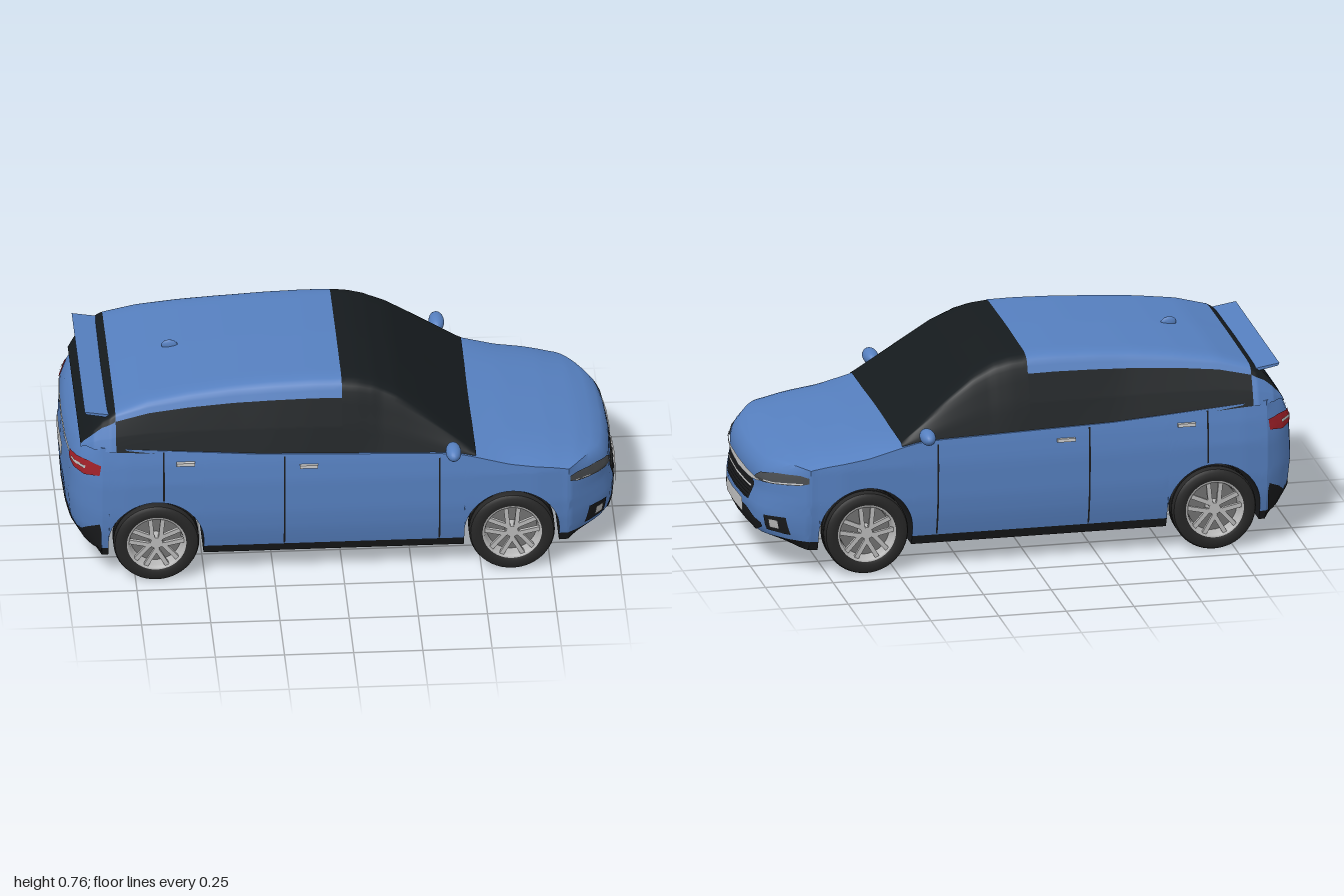
import * as THREE from 'three';
import { toCreasedNormals } from 'three/addons/utils/BufferGeometryUtils.js';

const mat = (color) => new THREE.MeshStandardMaterial({ color, side: THREE.DoubleSide });
const PAINT = mat(0x5680c0), GLASS = mat(0x161b1e), TRIM = mat(0x191a1c), TYRE = mat(0x262626),
  SILVER = mat(0xb8b8b8), CHROME = mat(0xe4e4e4), LAMP = mat(0x4a4d50), PLATE = mat(0xd0d0cc),
  RED = mat(0xa02028), STEEL = mat(0x707070), MESH = mat(0x35383b);

// Piecewise linear lookup in a list of [key, value]
function lin(t, k) {
  if (k <= t[0][0]) return t[0][1];
  for (let i = 1; i < t.length; i++) {
    const [a, va] = t[i - 1], [b, vb] = t[i];
    if (k <= b) return va + (vb - va) * (k - a) / (b - a);
  }
  return t[t.length - 1][1];
}

// Body rules: height of the top, half width, end profiles and plan rounding
const TOP = [[-1, .45], [-.985, .49], [-.96, .525], [-.93, .55], [-.8, .545], [-.3, .51], [.2, .495], [.47, .487],
  [.6, .477], [.75, .455], [.85, .435], [.92, .415], [.96, .395]];
const WIDTH = [[.09, .395], [.13, .412], [.2, .428], [.27, .437], [.4, .441], [.48, .435], [.55, .424]];
const TAPER = [[-.88, .98], [-.78, 1], [.7, 1], [.8, .97]];
const NOSE = [[.09, .88], [.11, .95], [.13, .985], [.17, .998], [.22, 1], [.29, .985], [.34, .985], [.37, .975], [.395, .957], [.42, .92]];
const TAIL = [[.09, .89], [.13, .945], [.2, .99], [.3, 1], [.45, .992], [.5, .973], [.55, .935]];
const NOSE_PLAN = [[0, 1], [.3, .975], [.55, .91], [.65, .83], [.75, .66], [.85, .45], [.94, .2], [1, 0]];
const TAIL_PLAN = [[0, 1], [.4, .97], [.7, .88], [.8, .78], [.9, .52], [.96, .25], [1, 0]];
const noseX = (y, h) => .815 + (lin(NOSE, y) - .815) * lin(NOSE_PLAN, Math.abs(h));
const tailX = (y, h) => -.87 - (lin(TAIL, y) - .87) * lin(TAIL_PLAN, Math.abs(h));
const topY = (x, h) => lin(TOP, x) - lin([[.4, 0], [.6, 1]], x) * (.012 * h * h + .026 * h ** 6);
const halfWidth = (x, y) => lin(WIDTH, y) * lin(TAPER, x);

function add(parent, name, geo, material, x = 0, y = 0, z = 0) {
  const m = new THREE.Mesh(geo, material);
  m.name = name;
  m.position.set(x, y, z);
  parent.add(m);
  return m;
}

// Surface from a rule (u, v) -> [x, y, z]
function grid(nu, nv, fn) {
  const pos = [], idx = [];
  for (let i = 0; i <= nu; i++) for (let j = 0; j <= nv; j++) pos.push(...fn(i / nu, j / nv));
  for (let i = 0; i < nu; i++) for (let j = 0; j < nv; j++) {
    const a = i * (nv + 1) + j, b = a + nv + 1;
    idx.push(a, b, a + 1, b, b + 1, a + 1);
  }
  const g = new THREE.BufferGeometry();
  g.setAttribute('position', new THREE.Float32BufferAttribute(pos, 3));
  g.setIndex(idx);
  g.computeVertexNormals();
  return g;
}

// Panel lying on the nose (dir 1) or tail (dir -1); rows are [z, low y, high y]
function endPanel(rows, dir, lift = .003) {
  const low = rows.map(r => [r[0], r[1]]), high = rows.map(r => [r[0], r[2]]);
  const z0 = rows[0][0], z1 = rows[rows.length - 1][0];
  return grid(28, 6, (u, v) => {
    const z = z0 + (z1 - z0) * u, y = lin(low, z) * (1 - v) + lin(high, z) * v;
    const h = Math.min(1, Math.abs(z) / halfWidth(dir, y));
    return [(dir > 0 ? noseX(y, h) : tailX(y, h)) + dir * lift, y, z + Math.sign(z) * lift * h * h];
  });
}
const mirrorZ = (rows) => rows.map(([z, a, b]) => [-z, a, b]).reverse();

// Body shell: a box whose columns follow the wheel arches and ends
const AXLES = [-.675, .61], ARCH = .172, HUB = .155, FLOOR = .09;
function bodyShell(group) {
  const st = [-1, -.985, -.965, -.94, -.91, -.88, -.865].map(x => [x, FLOOR]);
  const arch = (cx) => {
    st.push([cx - ARCH, FLOOR]);
    for (let i = 0; i <= 24; i++) {
      const a = Math.PI * (1 - i / 24);
      st.push([cx + ARCH * Math.cos(a), HUB + ARCH * Math.sin(a)]);
    }
    st.push([cx + ARCH, FLOOR]);
  };
  arch(AXLES[0]);
  for (let i = 0; i <= 10; i++) st.push([-.48 + i * .09, FLOOR]);
  arch(AXLES[1]);
  for (const x of [.8, .83, .86, .89, .92, .95, .975, 1]) st.push([x, FLOOR]);
  const nx = st.length - 1, ny = 18, nz = 28;
  const box = new THREE.BoxGeometry(2, 2, 2, nx, ny, nz), p = box.attributes.position, row = [];
  for (let i = 0; i < p.count; i++) {
    const [sx, bottom] = st[Math.round((p.getX(i) + 1) / 2 * nx)];
    const r = Math.round((p.getY(i) + 1) / 2 * ny), t = p.getZ(i), h = t * (1.5 - .5 * t * t);
    row.push(r);
    let x = sx, y = 0;
    for (let pass = 0; pass < 3; pass++) {
      const sill = Math.max(bottom, .125);
      y = r === 0 ? bottom : sill + (topY(x, h) - sill) * (r - 1) / (ny - 1);
      if (sx > .8) x = .8 + (noseX(y, h) - .8) * (sx - .8) / .2;
      if (sx < -.865) x = -.865 + (tailX(y, h) + .865) * (-.865 - sx) / .135;
    }
    p.setXYZ(i, x, y, h * halfWidth(x, y));
  }
  box.deleteAttribute('uv');
  const ix = box.index.array, paint = [], dark = [];
  for (let i = 0; i < ix.length; i += 3) {
    const f = [ix[i], ix[i + 1], ix[i + 2]];
    (f.every(k => row[k] <= 1) ? dark : paint).push(...f);
  }
  for (const [name, list, m] of [['bodyShell', paint, PAINT], ['underbody', dark, TRIM]]) {
    const g = box.clone();
    g.setIndex(list);
    add(group, name, toCreasedNormals(g.toNonIndexed(), .7), m);
  }
}

// Cabin: cross-sections along x, split into glass and painted zones
const ROOF = [[-.945, .535], [-.93, .56], [-.9, .605], [-.87, .64], [-.82, .675], [-.7, .712], [-.55, .735], [-.4, .75], [-.25, .76],
  [-.1, .765], [0, .764], [.06, .758], [.12, .742], [.2, .702], [.3, .628], [.4, .548], [.48, .485]];
const SECT_V = [[0, 0], [.2, .38], [.4, .75], [.5, .9], [.57, .96], [.65, .985], [1, 1]];
const SECT_Z = [[0, .428], [.2, .397], [.4, .364], [.5, .348], [.57, .33], [.65, .29], [1, 0]];
function cabinPoint(x, q) {
  const a = 1 - Math.abs(q), base = lin(TOP, x) - .012, rise = Math.max(0, lin(ROOF, x) - base);
  const widen = 1 + .19 * (1 - Math.min(1, rise / .25)) * Math.min(1, a / .5);
  const z = lin(SECT_Z, a) * widen * lin([[-.945, .84], [-.9, .94], [-.84, 1]], x);
  return [x, base + rise * lin(SECT_V, a), Math.sign(q) * z];
}
function cabin(group) {
  const zone = (name, x0, x1, q0, q1, m) => add(group, name,
    grid(28, 40, (u, v) => cabinPoint(x0 + (x1 - x0) * u, q0 + (q1 - q0) * v)), m);
  zone('windscreen', 0, .48, -1, 1, GLASS);
  zone('roof', -.82, 0, -.6, .6, PAINT);
  zone('rearWindow', -.945, -.82, -.6, .6, GLASS);
  for (const s of [1, -1]) {
    zone('sideWindows', -.82, 0, s * .6, s, GLASS);
    zone('rearPillar', -.945, -.82, s * .6, s, PAINT);
  }
}

// Wheel facing +z
function wheel() {
  const g = new THREE.Group();
  g.name = 'wheel';
  const lathe = (pts) => new THREE.LatheGeometry(pts.map(([r, a]) => new THREE.Vector2(r, a)), 48).rotateX(Math.PI / 2);
  const half = [[.105, .046], [.118, .051], [.138, .05], [.15, .043], [.155, .03], [.155, .02], [.149, .019], [.149, .012], [.155, .011]];
  add(g, 'tyre', toCreasedNormals(lathe([...half.map(([r, a]) => [r, -a]), ...half.slice().reverse()]), .6), TYRE);
  add(g, 'rim', lathe([[.108, .047], [.1, .046], [.096, .03], [.09, -.03], [.1, -.046], [.108, -.047]]), SILVER);
  add(g, 'brakeDisc', new THREE.CylinderGeometry(.092, .092, .012, 40).rotateX(Math.PI / 2), STEEL, 0, 0, -.005);
  add(g, 'hub', new THREE.CylinderGeometry(.022, .026, .042, 24).rotateX(Math.PI / 2), SILVER, 0, 0, .022);
  add(g, 'innerHub', new THREE.CylinderGeometry(.03, .03, .025, 24).rotateX(Math.PI / 2), SILVER, 0, 0, -.02);
  for (let i = 0; i < 5; i++) for (const s of [-1, 1]) {
    const spoke = new THREE.BoxGeometry(.016, .085, .014).translate(s * .013, .057, .036).rotateZ(-s * .1 + i * Math.PI * .4);
    add(g, 'spoke', spoke, SILVER);
  }
  return g;
}

export function createModel() {
  const car = new THREE.Group();
  car.name = 'car';
  bodyShell(car);
  cabin(car);
  const sym = (name, rows, dir, m, lift) => {
    add(car, name, endPanel(rows, dir, lift), m);
    add(car, name, endPanel(mirrorZ(rows), dir, lift), m);
  };

  // Nose
  add(car, 'grille', endPanel([[-.2, .29, .305], [-.17, .23, .32], [0, .228, .325], [.17, .23, .32], [.2, .29, .305]], 1), TRIM);
  for (let i = 0; i < 4; i++) {
    const y = .238 + i * .012, w = .165 + i * .006;
    add(car, 'grilleBar', endPanel([[-w, y, y + .003], [w, y, y + .003]], 1, .006), MESH);
  }
  add(car, 'grilleStrip', endPanel([[-.19, .282, .29], [0, .279, .288], [.19, .282, .29]], 1, .008), CHROME);
  add(car, 'upperTrim', endPanel([[-.25, .324, .328], [-.18, .312, .331], [0, .305, .334], [.18, .312, .331], [.25, .324, .328]], 1, .005), CHROME);
  add(car, 'lowerIntake', endPanel([[-.27, .155, .17], [-.22, .13, .185], [-.15, .125, .2], [.15, .125, .2], [.22, .13, .185], [.27, .155, .17]], 1), TRIM);
  add(car, 'frontPlate', endPanel([[-.13, .17, .222], [.13, .17, .222]], 1, .009), PLATE);
  sym('headlight', [[.21, .322, .332], [.25, .325, .357], [.32, .33, .372], [.4, .343, .381], [.424, .355, .376]], 1, LAMP);
  sym('lampStrip', [[.24, .332, .336], [.32, .334, .338], [.41, .349, .354]], 1, CHROME, .006);
  sym('fogSurround', [[.285, .15, .205], [.36, .145, .212]], 1, TRIM);
  sym('fogLamp', [[.305, .163, .195], [.335, .163, .195]], 1, SILVER, .007);

  // Tail
  sym('tailLight', [[.27, .455, .468], [.32, .44, .48], [.39, .43, .488], [.425, .44, .48]], -1, RED);
  sym('tailLightStrip', [[.31, .457, .465], [.39, .455, .466]], -1, SILVER, .006);
  add(car, 'tailTrim', endPanel([[-.27, .458, .467], [.27, .458, .467]], -1, .005), CHROME);
  add(car, 'rearPlate', endPanel([[-.13, .35, .405], [.13, .35, .405]], -1, .006), PLATE);
  add(car, 'rearDiffuser', endPanel([[-.42, .12, .235], [-.36, .12, .19], [-.25, .12, .2], [.25, .12, .2], [.36, .12, .19], [.42, .12, .235]], -1), TRIM);

  // Spoiler
  const wing = new THREE.Shape([[-.93, .668], [-.925, .658], [-.83, .64], [-.82, .65]].map(([x, y]) => new THREE.Vector2(x, y)));
  add(car, 'spoiler', new THREE.ExtrudeGeometry(wing, { depth: .72, bevelEnabled: false }), PAINT, 0, 0, -.36);

  // Roof fin
  const fin = new THREE.SphereGeometry(1, 16, 10).scale(.03, .022, .009);
  add(car, 'roofFin', fin, PAINT, -.6, .729, 0).rotation.z = -.15;

  for (const s of [1, -1]) {
    // Door gaps and handles
    for (const [x, y0, y1] of [[-.652, .333, .53], [-.215, .13, .5], [.345, .13, .475]])
      add(car, 'doorGap', grid(1, 12, (u, v) => {
        const y = y0 + (y1 - y0) * v, px = x + .006 * u;
        return [px, y, s * (halfWidth(px, y) + .002)];
      }), TRIM);
    for (const [x, y] of [[-.57, .485], [-.125, .46]])
      add(car, 'doorHandle', new THREE.BoxGeometry(.066, .012, .014), CHROME, x, y, s * .441);

    // Door mirrors
    add(car, 'doorMirror', new THREE.SphereGeometry(1, 24, 16).scale(.028, .028, .055), PAINT, .395, .519, s * .474);
    add(car, 'mirrorArm', new THREE.BoxGeometry(.03, .012, .06), TRIM, .39, .502, s * .43);

    // Wheels
    for (const x of AXLES) {
      const w = wheel();
      w.position.set(x, HUB, s * .388);
      if (s < 0) w.rotation.y = Math.PI;
      car.add(w);
    }
  }
  return car;
}
